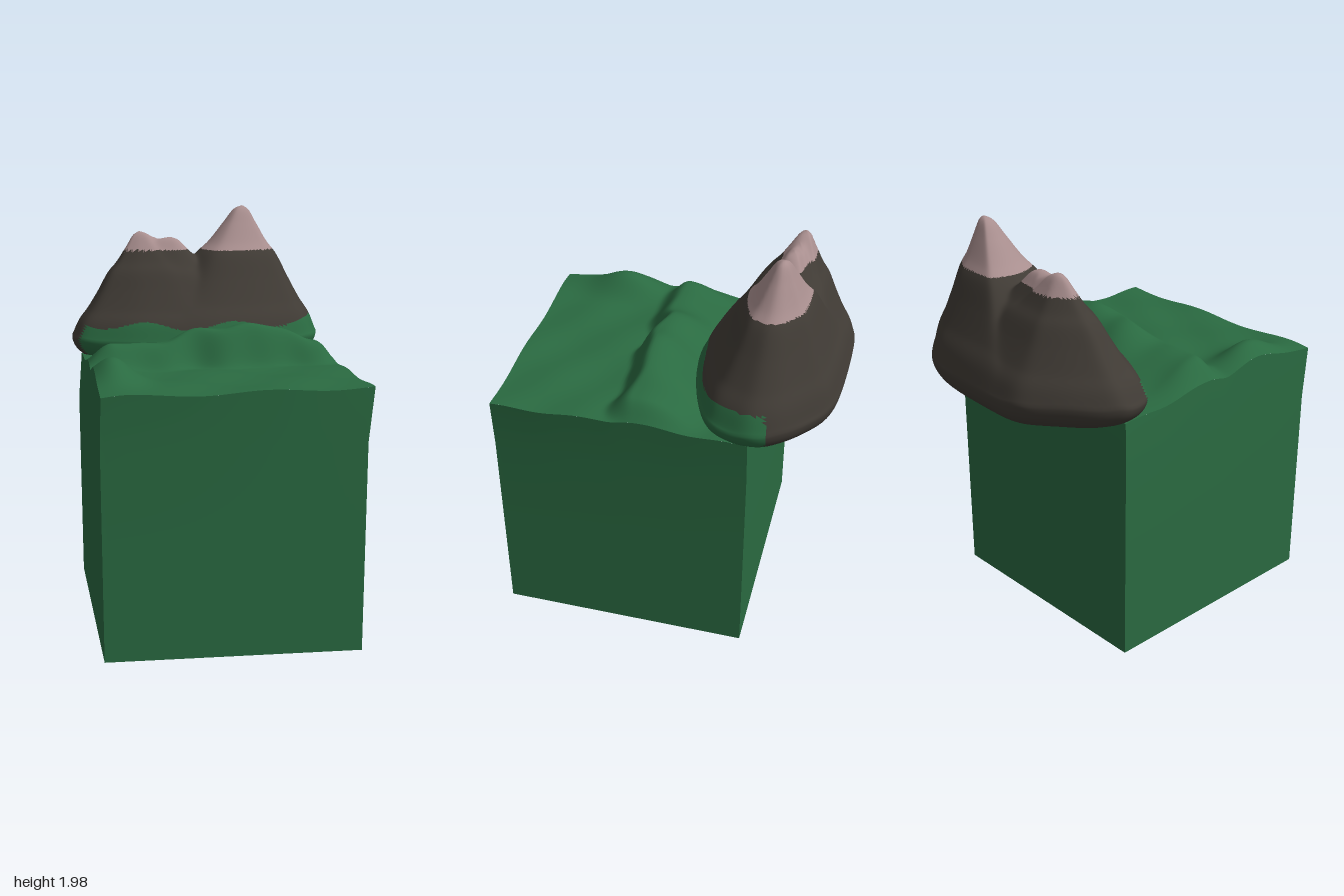
import * as THREE from 'three';
import { mergeVertices } from 'three/addons/utils/BufferGeometryUtils.js';

const { lerp, smoothstep, clamp } = THREE.MathUtils;
const gauss = (d, w) => Math.exp(-(d * d) / (w * w));

// Sheet of nu x nv cells; its front is the side where u turns left into v
function sheet(nu, nv, fn) {
  const pos = [], index = [];
  for (let j = 0; j <= nv; j++)
    for (let i = 0; i <= nu; i++) pos.push(...fn(i / nu, j / nv));
  for (let j = 0; j < nv; j++)
    for (let i = 0; i < nu; i++) {
      const a = j * (nu + 1) + i, c = a + nu + 1;
      index.push(a, a + 1, c, a + 1, c + 1, c);
    }
  let geo = new THREE.BufferGeometry();
  geo.setAttribute('position', new THREE.Float32BufferAttribute(pos, 3));
  geo.setIndex(index);
  geo = mergeVertices(geo, 1e-5);
  geo.computeVertexNormals();
  return geo;
}

// ---- Block: u runs left to right along the front, v from front to back
const baseCorners = [[-0.48, 0.82], [0.70, 0.61], [0.49, -0.58], [-0.70, -0.36]];
const topCorners = [[-0.47, 0.845], [0.725, 0.60], [0.50, -0.58], [-0.68, -0.35]];
const bilinear = (c, u, v) => [0, 1].map(k =>
  lerp(lerp(c[0][k], c[1][k], u), lerp(c[3][k], c[2][k], u), v));

function groundHeight(u, v) {
  const wave = Math.sin(u * 19) * 0.012 + Math.sin(u * 31 + 1) * 0.007;
  const foot = 0.45 + wave;
  const crest = 0.09 + 0.09 * gauss(u - 0.6, 0.3) + wave;
  const ends = smoothstep(u, -0.06, 0.1) * (1 - smoothstep(u, 0.93, 1.02));
  const ridge = smoothstep(v, foot, foot + 0.11) * (1 - smoothstep(v, 0.57, 0.86));
  const knoll = 0.11 * gauss(u - 0.07, 0.09) * gauss(v - 0.28, 0.16);
  const ripple = 0.008 * Math.sin(u * 13 + v * 5) * Math.cos(v * 17);
  return 1.25 - 0.02 * smoothstep(v, 0.6, 1) + ridge * crest * ends * 1.05 + knoll + ripple;
}

const ground = (u, v) => {
  const [x, z] = bilinear(topCorners, u, v);
  return [x, groundHeight(u, v), z];
};
const floor = (u, v) => {
  const [x, z] = bilinear(baseCorners, u, v);
  return [x, 0.035 * (1 - u), z];
};

// Side wall: straight up to y = 1, then flaring to the edge of the ground
function wall(edge) {
  return sheet(48, 3, (s, t) => {
    const [u, v] = edge(s), low = floor(u, v), high = ground(u, v);
    if (t === 0) return low;
    if (t === 1) return high;
    return [low[0], t < 0.5 ? 0.5 : 1, low[2]];
  });
}

// ---- Mountain: convex outline of the foot, seen from above
const outline = [[-0.75, -0.4], [-0.69, -0.22], [-0.4, -0.13], [0, -0.13], [0.3, -0.23], [0.53, -0.38],
  [0.58, -0.6], [0.5, -0.72], [0.2, -0.87], [0, -0.86], [-0.45, -0.77], [-0.62, -0.6]];
const peaks = [[0.16, -0.58, 2.0], [-0.38, -0.5, 1.87], [-0.3, -0.5, 1.83], [-0.22, -0.5, 1.84]];
const centre = [-0.08, -0.5];
const rimY = 1.31;
const slope = new THREE.CubicInterpolant(
  [0, 0.08, 0.18, 0.32, 0.45, 0.6, 0.75, 0.9, 1],
  [1, 0.97, 0.87, 0.73, 0.63, 0.46, 0.30, 0.16, 0], 1);

// Softened distance of offset (dx, dz) from c, where 1 lies on the outline
function reach(c, dx, dz, limit) {
  let sum = Math.pow(Math.hypot(dx, dz) / limit, 20);
  outline.forEach((a, i) => {
    const b = outline[(i + 1) % outline.length];
    const nx = b[1] - a[1], nz = a[0] - b[0];
    const r = (nx * dx + nz * dz) / (nx * (a[0] - c[0]) + nz * (a[1] - c[1]));
    if (r > 0) sum += Math.pow(r, 20);
  });
  return Math.pow(sum, 1 / 20);
}

function mountainHeight(x, z) {
  const k = 60;
  let sum = 0;
  for (const p of peaks) {
    const t = clamp(reach(p, x - p[0], z - p[1], 0.55), 0, 1);
    sum += Math.exp(k * (p[2] - rimY) * slope.evaluate(t)[0]);
  }
  return rimY + Math.log(sum) / k - 0.015;
}

// Closed shell: underside from its middle out to the rim, then up to the middle
function mountainShell() {
  return sheet(160, 130, (a, v) => {
    const th = (a === 1 ? 0 : a) * Math.PI * 2, dx = Math.cos(th), dz = -Math.sin(th);
    const rim = 1 / reach(centre, dx, dz, 9);
    const under = v < 30 / 130 - 1e-6;
    const s = under ? Math.sin(v * 130 / 30 * Math.PI / 2) : 1 - (v * 130 - 30) / 100;
    const x = centre[0] + dx * rim * s, z = centre[1] + dz * rim * s;
    if (!under) return [x, mountainHeight(x, z), z];
    const edgeY = mountainHeight(centre[0] + dx * rim, centre[1] + dz * rim);
    return [x, lerp(1.16, edgeY, 1 - Math.sqrt(Math.max(0, 1 - s ** 4))), z];
  });
}

// Part of a geometry whose triangle centres pass the test, keeping smooth normals
function pick(geo, test) {
  const p = geo.attributes.position, src = geo.index.array, index = [];
  for (let i = 0; i < src.length; i += 3) {
    const t = [src[i], src[i + 1], src[i + 2]];
    const mean = f => (f(t[0]) + f(t[1]) + f(t[2])) / 3;
    if (test(mean(n => p.getX(n)), mean(n => p.getY(n)), mean(n => p.getZ(n)))) index.push(...t);
  }
  const part = geo.clone();
  part.setIndex(index);
  return part;
}

export function createModel() {
  const model = new THREE.Group();
  const grass = new THREE.MeshStandardMaterial({ color: 0x2a6a41 });
  const rock = new THREE.MeshStandardMaterial({ color: 0x403b35 });
  const snow = new THREE.MeshStandardMaterial({ color: 0xa88e8e });
  const add = (parent, name, geo, material) => {
    const mesh = new THREE.Mesh(geo, material);
    mesh.name = name;
    parent.add(mesh);
  };

  // Block of land
  const block = new THREE.Group();
  block.name = 'landBlock';
  add(block, 'rollingGround', sheet(90, 90, ground), grass);
  add(block, 'frontWall', wall(s => [s, 0]), grass);
  add(block, 'leftWall', wall(s => [1, s]), grass);
  add(block, 'backWall', wall(s => [1 - s, 1]), grass);
  add(block, 'rightWall', wall(s => [0, 1 - s]), grass);
  add(block, 'underside', sheet(1, 1, (u, v) => floor(1 - u, v)), grass);

  // Twin-peaked mountain, split by colour
  const mountain = new THREE.Group();
  mountain.name = 'mountain';
  const shell = mountainShell();
  const isSnow = (x, y) => y > 1.76;
  const isGrass = (x, y, z) =>
    y < 1.4 + 0.02 * Math.sin(x * 14) && 0.35 * x + z > -0.48;
  add(mountain, 'snowCaps', pick(shell, isSnow), snow);
  add(mountain, 'grassyFoot', pick(shell, isGrass), grass);
  add(mountain, 'rockSlopes', pick(shell, (x, y, z) => !isSnow(x, y) && !isGrass(x, y, z)), rock);

  model.add(block, mountain);
  return model;
}
